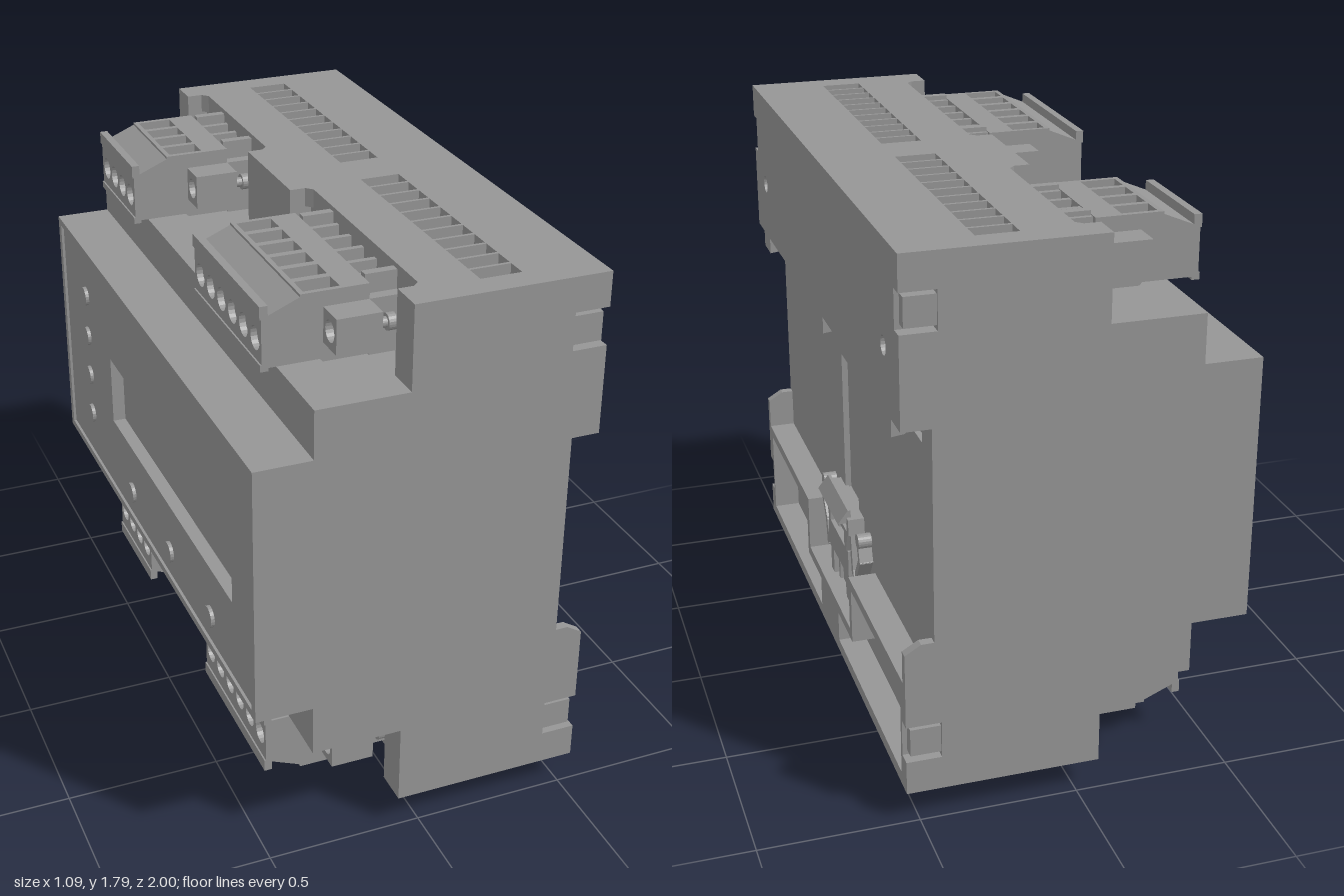
import * as THREE from 'three';

const grey = new THREE.MeshStandardMaterial({ color: 0x959595, flatShading: true });
const MID_Y = 0.9475; // mirror plane between the upper and lower terminal decks

function add(parent, name, geometry) {
  const mesh = new THREE.Mesh(geometry, grey);
  mesh.name = name;
  parent.add(mesh);
  return mesh;
}

// box given by its limits on each axis
function box(parent, name, [x0, x1], [y0, y1], [z0, z1]) {
  const g = new THREE.BoxGeometry(x1 - x0, y1 - y0, z1 - z0);
  return add(parent, name, g.translate((x0 + x1) / 2, (y0 + y1) / 2, (z0 + z1) / 2));
}

const rect = (u0, u1, v0, v1) => [[u0, v0], [u1, v0], [u1, v1], [u0, v1]];
const circle = (u, v, r, n = 20) => Array.from({ length: n }, (_, i) =>
  [u + r * Math.cos(i / n * 2 * Math.PI), v + r * Math.sin(i / n * 2 * Math.PI)]);

// counter-clockwise points, optionally mirrored in u or v
function toPath(pts, flip) {
  const path = pts.map(([u, v]) => new THREE.Vector2(flip === 'u' ? -u : u, flip === 'v' ? -v : v));
  return THREE.ShapeUtils.isClockWise(path) ? path.reverse() : path;
}

function extrude(outline, holes, depth, flip) {
  const shape = new THREE.Shape(toPath(outline, flip));
  holes.forEach(h => shape.holes.push(new THREE.Path(toPath(h, flip))));
  return new THREE.ExtrudeGeometry(shape, { depth, bevelEnabled: false });
}
// outlines as [z, y], [x, z] and [x, y] respectively
const alongX = (o, h, x0, x1) => extrude(o, h, x1 - x0, 'u').rotateY(Math.PI / 2).translate(x0, 0, 0);
const alongY = (o, h, y0, y1) => extrude(o, h, y1 - y0, 'v').rotateX(-Math.PI / 2).translate(0, y0, 0);
const alongZ = (o, z0, z1) => extrude(o, [], z1 - z0).translate(0, 0, z0);
const pinX = (r, x0, x1, y, z) =>
  new THREE.CylinderGeometry(r, r, x1 - x0, 20).rotateZ(Math.PI / 2).translate((x0 + x1) / 2, y, z);

// pluggable screw terminal centred on z
function terminal(z, count) {
  const g = new THREE.Group();
  g.name = 'terminalBlock';
  const half = count === 4 ? 0.185 : 0.283, pitch = count === 4 ? 0.089 : 0.093;
  const poles = Array.from({ length: count }, (_, i) => z + (i - (count - 1) / 2) * pitch);
  const z0 = z - half, z1 = z + half;
  add(g, 'terminalBody', alongZ([[-0.405, 1.56], [-0.25, 1.56], [-0.24, 1.55], [-0.1, 1.55],
    [-0.1, 1.71], [-0.31, 1.71], [-0.31, 1.76], [-0.405, 1.72]], z0, z1));
  add(g, 'screwFace', alongY(rect(-0.31, -0.1, z0, z1),
    poles.map(p => rect(-0.295, -0.185, p - 0.035, p + 0.035)), 1.71, 1.768));
  add(g, 'wireFace', alongX(rect(z0, z1, 1.56, 1.72), poles.map(p => circle(p, 1.635, 0.036)), -0.425, -0.405));
  box(g, 'topLip', [-0.43, -0.405], [1.71, 1.75], [z0, z1]);
  box(g, 'bottomLip', [-0.43, -0.405], [1.55, 1.572], [z0, z1]);
  box(g, 'header', [-0.1, 0], [1.545, 1.72], [z0, z1]);
  for (const p of poles) {
    box(g, 'clampScrew', [-0.27, -0.21], [1.705, 1.725], [p - 0.02, p + 0.02]);
    box(g, 'headerRib', [-0.1, -0.01], [1.71, 1.765], [p - 0.03, p - 0.012]);
  }
  for (const s of [-1, 1]) {
    // locking flange with its screw
    const f = z + s * (half + 0.047);
    add(g, 'flange', alongX(rect(f - 0.047, f + 0.047, 1.61, 1.72), [circle(f, 1.665, 0.033)], -0.24, -0.1));
    add(g, 'flangeScrew', pinX(0.033, -0.2, -0.1, 1.665, f));
    add(g, 'screwShaft', pinX(0.016, -0.1, 0, 1.665, f));
    add(g, 'screwCollar', pinX(0.026, -0.07, -0.045, 1.665, f));
    const l = z + s * (half - 0.05);
    box(g, 'latch', [-0.1, 0], [1.72, 1.78], [l - 0.014, l + 0.014]);
  }
  return g;
}

// terminal deck: vented slab, pocket walls and two terminal blocks; dir is the z order
function deck(dir) {
  const g = new THREE.Group();
  g.name = 'terminalDeck';
  const blocks = [[dir * -0.595, 4, 0.305], [dir * 0.4875, 6, 0.4]].sort((a, b) => a[0] - b[0]);
  const edge = [[-0.07, -1]], walls = [-1];
  for (const [z, , h] of blocks) {
    edge.push([-0.07, z - h], [-0.02, z - h], [0, z - h + 0.02], [0, z + h - 0.02], [-0.02, z + h], [-0.07, z + h]);
    walls.push(z - h, z + h);
  }
  walls.push(1);
  const vents = [];
  for (const s of [-1, 1]) for (let i = 0; i < 11; i++) {
    const c = s * (0.115 + i * 0.0765);
    vents.push(rect(0.17, 0.3, c - 0.033, c + 0.033));
  }
  add(g, 'ventedSlab', alongY([...edge, [-0.07, 1], [0.43, 1], [0.43, -1]], vents, 1.735, 1.795));
  for (let i = 0; i < walls.length; i += 2)
    box(g, 'pocketWall', [-0.07, 0], [1.53, 1.735], [walls[i], walls[i + 1]]);
  blocks.forEach(([z, n]) => g.add(terminal(z, n)));
  return g;
}

// sliding rail clip with spring arms and pull foot
function railClip() {
  const g = new THREE.Group();
  g.name = 'railClip';
  add(g, 'clipHead', alongX([[-0.12, 0.47], [0.12, 0.47], [0.15, 0.54], [0.17, 0.55], [0.165, 0.605],
    [-0.165, 0.605], [-0.17, 0.55], [-0.15, 0.54]],
  [...[-0.1, 0, 0.1].map(z => rect(z - 0.04, z + 0.04, 0.553, 0.578)), rect(-0.1, 0.1, 0.48, 0.535)], 0.44, 0.505));
  add(g, 'clipLip', alongZ([[0.49, 0.585], [0.535, 0.585], [0.5, 0.63], [0.49, 0.63]], -0.145, 0.145));
  add(g, 'clipPlate', alongX(rect(-0.13, 0.13, 0.14, 0.47), [rect(-0.09, 0.09, 0.265, 0.37)], 0.44, 0.5));
  box(g, 'clipTongue', [0.44, 0.48], [0.265, 0.32], [-0.035, 0.035]);
  for (const z of [-0.05, 0.05]) {
    box(g, 'clipTooth', [0.44, 0.49], [0.265, 0.37], [z - 0.009, z + 0.009]);
    box(g, 'clipStrut', [0.44, 0.49], [0.475, 0.54], [z - 0.009, z + 0.009]);
  }
  for (const s of [-1, 1]) {
    const pts = [[0.145, 0.54], [0.165, 0.42], [0.2, 0.35], [0.215, 0.43], [0.265, 0.5], [0.245, 0.56]];
    for (let i = 0; i + 1 < pts.length; i++) {
      const [a, b] = pts[i], [c, d] = pts[i + 1];
      const bar = new THREE.BoxGeometry(0.05, Math.hypot(c - a, d - b) + 0.015, 0.022);
      bar.rotateX(Math.atan2(s * (c - a), d - b)).translate(0.47, (b + d) / 2, s * (a + c) / 2);
      add(g, 'springArm', bar);
    }
    add(g, 'springTip', pinX(0.025, 0.445, 0.495, 0.565, s * 0.245));
    box(g, 'springAnchor', [0.44, 0.49], [0.34, 0.38], [s > 0 ? 0.13 : -0.2, s > 0 ? 0.2 : -0.13]);
  }
  add(g, 'pullFoot', alongX(rect(-0.09, 0.09, 0.02, 0.165), [rect(-0.055, 0.055, 0.04, 0.1)], 0.44, 0.5));
  add(g, 'footTip', alongZ([[0.44, 0], [0.475, 0], [0.49, 0.006], [0.5, 0.02], [0.44, 0.02]], -0.09, 0.09));
  return g;
}

// back outline as [z, y] with side notches, and optional extra points along its top edge
function notched(y0, y1, bands, top = []) {
  const side = [[1, y0], ...bands.flatMap(([a, b]) => [[1, a], [0.955, a], [0.955, b], [1, b]]), [1, y1]];
  return [...side, ...top, ...side.map(([z, y]) => [-z, y]).reverse()];
}

export function createModel() {
  const model = new THREE.Group();
  model.name = 'railModule';

  // stepped housing core
  add(model, 'housing', alongZ([[0, 0.16], [0.43, 0.16], [0.43, 1.735], [0, 1.735], [0, 1.53], [-0.36, 1.53],
    [-0.36, 1.375], [-0.49, 1.375], [-0.49, 0.53], [-0.36, 0.53], [-0.36, 0.365], [0, 0.365]], -1, 1));

  // upper deck, and the same deck turned over for the lower side
  model.add(deck(1));
  const lower = deck(-1);
  lower.rotation.x = Math.PI;
  lower.position.y = 2 * MID_Y;
  model.add(lower);

  // front panel with display window, lamps and buttons
  add(model, 'panelFrame', alongX(rect(-1, 1, 0.53, 1.375), [rect(-0.97, 0.97, 0.555, 1.35)], -0.542, -0.49));
  add(model, 'panel', alongX(rect(-0.97, 0.97, 0.555, 1.35), [rect(-0.43, 0.79, 0.82, 1.06)], -0.533, -0.49));
  for (const y of [1.185, 1.03, 0.875, 0.72]) add(model, 'lamp', pinX(0.033, -0.545, -0.52, y, -0.7));
  for (const z of [-0.22, 0.19, 0.59]) add(model, 'button', pinX(0.035, -0.545, -0.52, 0.645, z));

  // back wall with shallow recesses
  const lowBand = [0.21, 0.33], highBand = [1.565, 1.685];
  add(model, 'backWall', alongX(notched(0.1, 1.795, [lowBand, highBand]),
    [rect(-0.095, 0.095, 0.6, 1.09), rect(0.25, 0.61, 1.195, 1.22), rect(-0.61, -0.25, 1.195, 1.22),
      ...[-0.85, 0, 0.85].map(z => rect(z - 0.047, z + 0.047, 1.195, 1.225))], 0.43, 0.45));

  // upper back block with rail hooks
  add(model, 'upperBackBlock', alongX(notched(1.28, 1.795, [highBand]),
    [circle(-0.83, 1.475, 0.03), circle(0.83, 1.475, 0.03)], 0.45, 0.54));
  for (const z of [-0.85, 0, 0.85])
    add(model, 'railHook', alongZ([[0.49, 1.285], [0.485, 1.25], [0.5, 1.23], [0.54, 1.225], [0.54, 1.285]], z - 0.05, z + 0.05));

  // lower back block: rim walls around two pockets and the clip bay
  const bay = [[0.3, 0.47], [0.3, 0.28], [-0.3, 0.28], [-0.3, 0.47]];
  const pocket = s => [[0.94, 0.14], [0.94, 0.435], [0.33, 0.435], [0.33, 0.245], [0.13, 0.245], [0.13, 0.14]]
    .map(([z, y]) => [s * z, y]);
  add(model, 'lowerBackBlock', alongX(notched(0.1, 0.47, [lowBand], bay), [pocket(1), pocket(-1)], 0.45, 0.54));

  // end hooks, and lugs filling the side notches between two slits
  for (const s of [-1, 1]) {
    const c = s * 0.985;
    add(model, 'endHook', alongZ([[0.45, 0.47], [0.54, 0.47], [0.54, 0.575], [0.49, 0.605], [0.45, 0.605]], c - 0.015, c + 0.015));
    for (const y of [0.27, 1.625])
      box(model, 'notchLug', [0.43, 0.525], [y - 0.045, y + 0.045], [s * 0.972 - 0.02, s * 0.972 + 0.02]);
  }

  model.add(railClip());
  return model;
}
